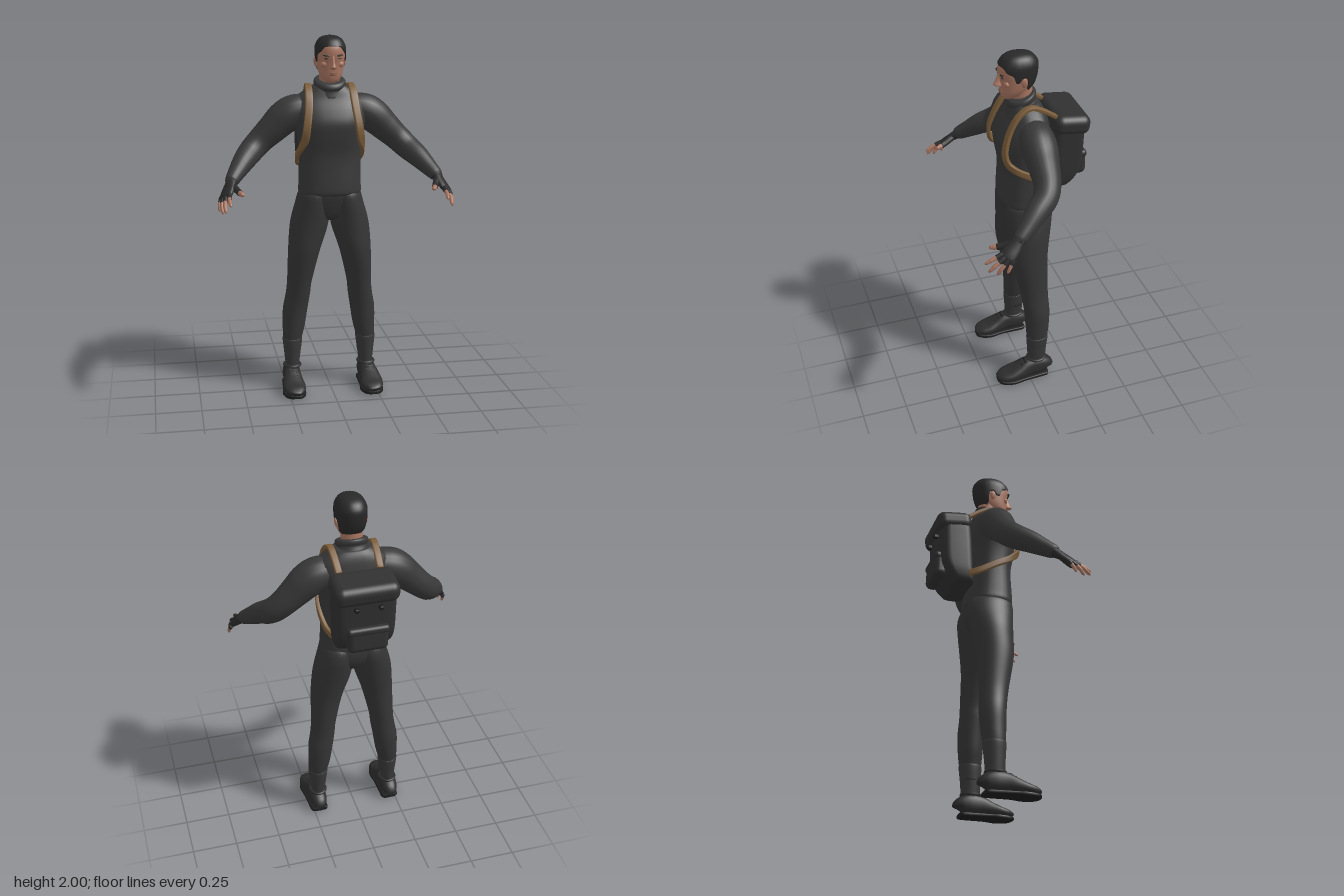
import * as THREE from 'three';
import { RoundedBoxGeometry } from 'three/addons/geometries/RoundedBoxGeometry.js';

const V = (x, y, z) => new THREE.Vector3(x, y, z);
const palette = {
  jacket: 0x383838, trousers: 0x353535, shoe: 0x2d2d2d, sole: 0x1e1e1e, hair: 0x282828,
  glove: 0x2a2a2a, pack: 0x303030, skin: 0xa67460, strap: 0x7a5c3a, lips: 0x80503f,
};
const mats = {};
for (const [name, color] of Object.entries(palette)) {
  mats[name] = new THREE.MeshStandardMaterial({ color });
  mats[name].name = name;
}

// Closed skin over a list of rings of points
function skin(rings, capped = true) {
  const n = rings[0].length, pos = [], idx = [];
  rings.forEach(r => r.forEach(p => pos.push(p.x, p.y, p.z)));
  for (let i = 0; i < rings.length - 1; i++) for (let j = 0; j < n; j++) {
    const a = i * n + j, b = i * n + (j + 1) % n;
    idx.push(a, b, b + n, a, b + n, a + n);
  }
  if (capped) [0, rings.length - 1].forEach((i, end) => {
    const c = rings[i].reduce((s, p) => s.add(p), V(0, 0, 0)).divideScalar(n);
    const k = pos.length / 3;
    pos.push(c.x, c.y, c.z);
    for (let j = 0; j < n; j++) {
      const a = i * n + j, b = i * n + (j + 1) % n;
      end ? idx.push(k, a, b) : idx.push(k, b, a);
    }
  });
  const g = new THREE.BufferGeometry();
  g.setAttribute('position', new THREE.Float32BufferAttribute(pos, 3));
  g.setIndex(idx);
  g.computeVertexNormals();
  return g;
}
const pw = (v, n) => Math.sign(v) * Math.abs(v) ** (2 / n);
const spline = pts => new THREE.CatmullRomCurve3(pts, false, 'catmullrom', 0.5);

// Upright form; rows go upward: [y, centreX, centreZ, radiusX, radiusZ]
function samples(rows, count) {
  const c = spline(rows.map(r => V(r[1], r[0], r[2]))), s = spline(rows.map(r => V(r[3], r[4], 0)));
  return Array.from({ length: count + 1 }, (_, i) => [c.getPoint(i / count), s.getPoint(i / count)]);
}
const ringPoint = ([c, s], a, n, grow = 0) =>
  V(c.x + (s.x + grow) * pw(Math.sin(a), n), c.y, c.z + (s.y + grow) * pw(Math.cos(a), n));
function loft(rows, n = 2, tilt = 0, segs = 36) {
  return skin(samples(rows, rows.length * 4).map(s => Array.from({ length: segs }, (_, j) => {
    const p = ringPoint(s, j / segs * Math.PI * 2, n);
    p.y -= tilt * p.z;
    return p;
  })));
}
// Form along a path; rows: [x, y, z, radiusA, radiusB]; A points along the hint vector(s)
function limb(rows, hint = V(0, 0, 1), n = 2, segs = 20) {
  const c = spline(rows.map(r => V(r[0], r[1], r[2])));
  const s = spline(rows.map(r => V(r[3], r[4] ?? r[3], 0)));
  const h = Array.isArray(hint) ? spline(hint) : null;
  const count = rows.length * 5, rings = [];
  for (let i = 0; i <= count; i++) {
    const t = i / count, T = c.getTangent(t), C = c.getPoint(t), S = s.getPoint(t);
    const U = (h ? h.getPoint(t) : hint).clone();
    U.addScaledVector(T, -U.dot(T)).normalize();
    const W = T.clone().cross(U);
    rings.push(Array.from({ length: segs }, (_, j) => {
      const a = j / segs * Math.PI * 2;
      return C.clone().addScaledVector(U, S.x * pw(Math.cos(a), n)).addScaledVector(W, S.y * pw(Math.sin(a), n));
    }));
  }
  return skin(rings);
}
function mirrored(geo) {
  const g = geo.clone();
  g.applyMatrix4(new THREE.Matrix4().makeScale(-1, 1, 1));
  const ix = g.index ? Array.from(g.index.array) : Array.from({ length: g.attributes.position.count }, (_, i) => i);
  for (let i = 0; i < ix.length; i += 3) [ix[i], ix[i + 1]] = [ix[i + 1], ix[i]];
  g.setIndex(ix);
  return g;
}
const blob = (x, y, z, rx, ry, rz, turn = 0) =>
  new THREE.SphereGeometry(1, 16, 12).scale(rx, ry, rz).rotateZ(turn).translate(x, y, z);
const box = (w, h, d, r, x, y, z, tilt = 0) =>
  new RoundedBoxGeometry(w, h, d, 5, r).rotateX(tilt).translate(x, y, z);

export function createModel() {
  const model = new THREE.Group();
  model.name = 'hiker';
  const add = (name, geo, mat) => {
    const m = new THREE.Mesh(geo, mats[mat]);
    m.name = name;
    model.add(m);
  };
  const both = (name, geo, mat) => {
    add(name + 'Left', geo, mat);
    add(name + 'Right', mirrored(geo), mat);
  };

  // Jacket and rolled collar
  add('jacketBody', loft([[1.135, 0, -.03, .166, .122], [1.15, 0, -.03, .174, .132], [1.2, 0, -.028, .172, .129],
    [1.35, 0, -.025, .17, .118], [1.45, 0, -.02, .178, .128], [1.53, 0, -.022, .193, .136], [1.6, 0, -.035, .2, .124],
    [1.66, 0, -.045, .185, .1], [1.7, 0, -.045, .14, .085], [1.73, 0, -.04, .095, .07]], 2.5), 'jacket');
  add('collar', loft([[1.685, 0, -.03, .1, .083], [1.71, 0, -.027, .086, .074], [1.72, 0, -.026, .084, .073],
    [1.735, 0, -.025, .089, .079], [1.752, 0, -.025, .083, .073], [1.757, 0, -.025, .066, .057]], 2, .35), 'jacket');
  both('sleeve', limb([[.1, 1.605, -.045, .078], [.19, 1.59, -.045, .092], [.25, 1.555, -.045, .093], [.31, 1.5, -.043, .083],
    [.38, 1.435, -.038, .072], [.432, 1.385, -.01, .068], [.48, 1.34, .055, .06], [.525, 1.29, .12, .047],
    [.553, 1.258, .163, .038], [.557, 1.253, .169, .033]]), 'jacket');

  // Trousers: pelvis, legs and lower leg wraps
  add('pelvis', loft([[.985, 0, -.035, .05, .05], [1.01, 0, -.037, .11, .09], [1.07, 0, -.04, .172, .115],
    [1.13, 0, -.035, .172, .123], [1.18, 0, -.03, .16, .115]], 2.3), 'trousers');
  both('leg', loft([[.2, .21, -.055, .045, .052], [.28, .212, -.055, .053, .06], [.36, .203, -.058, .063, .068],
    [.46, .194, -.058, .07, .073], [.55, .179, -.05, .069, .077], [.63, .17, -.043, .07, .084], [.8, .147, -.028, .088, .102],
    [.93, .121, -.034, .105, .114], [1, .109, -.038, .105, .122], [1.08, .097, -.04, .094, .13],
    [1.14, .088, -.035, .085, .122], [1.17, .08, -.03, .06, .09]]), 'trousers');
  both('legWrap', loft([[.11, .214, -.052, .036, .05], [.135, .214, -.052, .039, .053], [.2, .213, -.053, .047, .057],
    [.28, .212, -.055, .056, .063], [.288, .212, -.055, .05, .056]]), 'jacket');

  // Shoes with soles, ankle rims and laces
  const side = V(1, 0, 0);
  both('shoe', limb([[.218, .05, -.112, .03, .035], [.218, .062, -.104, .043, .047], [.219, .073, -.06, .05, .058],
    [.221, .071, 0, .05, .056], [.223, .058, .055, .058, .043], [.222, .046, .11, .063, .031],
    [.22, .039, .155, .054, .024], [.218, .034, .18, .036, .016], [.218, .03, .186, .018, .01]], side, 2.4, 28), 'shoe');
  both('sole', limb([[.218, .011, -.115, .035, .01], [.218, .011, -.1, .049, .011], [.22, .012, -.04, .053, .011],
    [.222, .013, .04, .058, .01], [.222, .012, .1, .066, .011], [.22, .012, .15, .057, .011],
    [.218, .014, .18, .038, .01], [.218, .015, .19, .018, .008]], side, 5, 28), 'sole');
  both('ankleRim', new THREE.TorusGeometry(.044, .009, 8, 28).rotateX(Math.PI / 2).scale(1, 1, 1.15).translate(.215, .125, -.05), 'shoe');
  for (let i = 0; i < 3; i++)
    both('lace' + i, box(.05, .008, .012, .003, .222, .117 - i * .012, .025 + i * .021, .5), 'sole');

  // Fingerless gloves, fingers with bare tips
  const across = V(.043, -.02, -.05);
  both('glove', limb([[.548, 1.262, .15, .03, .03], [.56, 1.245, .178, .034, .026], [.573, 1.224, .205, .041, .022],
    [.588, 1.198, .236, .044, .02], [.598, 1.183, .253, .04, .016], [.602, 1.178, .26, .025, .008]], across), 'glove');
  const fingers = [
    ['index', [.576, 1.2, .265], [.579, 1.18, .317], [.575, 1.157, .36], .012],
    ['middle', [.592, 1.188, .258], [.602, 1.158, .308], [.6, 1.122, .348], .0125],
    ['ring', [.606, 1.18, .241], [.616, 1.146, .279], [.614, 1.108, .307], .012],
    ['little', [.615, 1.178, .222], [.626, 1.146, .242], [.628, 1.113, .258], .0105],
    ['thumb', [.557, 1.24, .195], [.53, 1.215, .258], [.507, 1.203, .315], .0155],
  ];
  for (const [name, a, b, c, r] of fingers) {
    const path = spline([V(...a), V(...b), V(...c)]);
    const seg = (t0, t1, radii) => limb(radii.map((k, i) =>
      [...path.getPoint(t0 + (t1 - t0) * i / (radii.length - 1)).toArray(), r * k]), across, 2, 12);
    const cut = name === 'thumb' ? .68 : .34;
    both(name + 'Sleeve', seg(0, cut, [1.2, 1.2, 1.12, 1.08]), 'glove');
    both(name + 'Finger', seg(cut - .1, 1, [.9, .95, .88, .9, .8, .72, .3]), 'skin');
  }

  // Head and neck
  const headRows = [[1.75, 0, .045, .02, .022], [1.765, 0, .035, .041, .046], [1.79, 0, .018, .059, .068],
    [1.82, 0, .002, .069, .085], [1.86, 0, -.005, .075, .096], [1.9, 0, -.005, .078, .103], [1.94, 0, -.008, .076, .101],
    [1.972, 0, -.009, .06, .08], [1.988, 0, -.009, .038, .052], [1.994, 0, -.009, .012, .016]];
  const headSamples = samples(headRows, 120);
  const headAt = y => headSamples.find(s => s[0].y >= y) ?? headSamples[120];
  const faceZ = (x, y) => {
    const [c, s] = headAt(y);
    return c.z + s.y * (1 - (x / s.x) ** 2.2) ** (1 / 2.2);
  };
  add('head', loft(headRows, 2.2), 'skin');
  add('neck', limb([[0, 1.68, -.035, .058], [0, 1.76, -.03, .058], [0, 1.85, -.02, .058]]), 'skin');

  // Cropped hair following the skull down to a hairline
  const line = [[0, 1.945], [.55, 1.942], [.85, 1.915], [1.2, 1.905], [1.3, 1.86], [1.5, 1.86], [1.6, 1.89],
    [1.85, 1.88], [2, 1.82], [2.4, 1.795], [3.15, 1.79]];
  const hairline = a => {
    const i = line.findIndex(p => p[0] > a), [a0, y0] = line[i - 1], [a1, y1] = line[i];
    return y0 + (y1 - y0) * (a - a0) / (a1 - a0);
  };
  const hairRings = [];
  for (let i = 0; i <= 20; i++) hairRings.push(Array.from({ length: 72 }, (_, j) => {
    const a = j / 72 * Math.PI * 2, t = Math.max(0, i - 1) / 19;
    const y = THREE.MathUtils.lerp(hairline(Math.min(a, Math.PI * 2 - a)), 1.994, 1 - (1 - t) ** 1.6);
    const p = ringPoint(headAt(y), a, 2.2, i ? .006 : -.004);
    if (i) p.y += .006 * t;
    return p;
  }));
  add('hair', skin(hairRings), 'hair');

  // Face
  add('nose', loft([[1.824, 0, .088, .008, .012], [1.83, 0, .092, .018, .026], [1.838, 0, .094, .017, .031],
    [1.855, 0, .092, .011, .023], [1.88, 0, .09, .009, .015], [1.9, 0, .088, .008, .01]]), 'skin');
  add('chin', blob(0, 1.768, .066, .022, .015, .016), 'skin');
  add('upperLip', blob(0, 1.803, faceZ(0, 1.803), .023, .004, .007), 'lips');
  add('lowerLip', blob(0, 1.794, faceZ(0, 1.794), .019, .005, .008), 'lips');
  both('brow', blob(.034, 1.898, faceZ(.034, 1.898) - .001, .021, .0045, .008, .1), 'hair');
  both('eye', blob(.033, 1.882, faceZ(.033, 1.882) - .002, .013, .004, .005), 'hair');
  both('cheek', blob(.04, 1.85, faceZ(.04, 1.85) - .012, .024, .018, .016), 'skin');
  both('ear', blob(.079, 1.858, -.018, .009, .027, .017, -.15), 'skin');

  // Backpack with top flap, rear pocket and buckles
  add('packBody', loft([[1.235, 0, -.197, .125, .05], [1.245, 0, -.2, .145, .06], [1.29, 0, -.222, .156, .08],
    [1.36, 0, -.238, .16, .094], [1.5, 0, -.246, .163, .094], [1.6, 0, -.252, .163, .09], [1.64, 0, -.255, .15, .08]], 5, 0, 48), 'pack');
  add('packFlap', box(.345, .11, .2, .045, 0, 1.602, -.264, -.12), 'pack');
  add('packPocket', box(.22, .14, .075, .032, 0, 1.337, -.327, .04), 'pack');
  add('pocketLid', box(.228, .045, .08, .02, 0, 1.392, -.326), 'pack');
  both('buckle', box(.022, .022, .036, .006, .065, 1.525, -.348), 'sole');

  // Shoulder straps running over the chest and back under the arms
  const strap = [
    [.11, 1.655, -.18, 0, .8, -.6], [.114, 1.708, -.1, 0, 1, -.5], [.118, 1.731, -.035, 0, 1, .2],
    [.122, 1.693, .03, 0, .6, .8], [.128, 1.615, .078, .1, .3, 1], [.142, 1.52, .108, .25, 0, 1],
    [.153, 1.45, .1, .5, -.1, 1], [.17, 1.4, .055, .9, 0, .5], [.179, 1.35, -.03, 1, 0, 0],
    [.168, 1.3, -.12, 1, 0, -.3], [.145, 1.28, -.18, 1, 0, -.4]];
  both('strap', limb(strap.map((p, i) => [p[0], p[1], p[2], .011, i > 2 && i < 7 ? .021 : .018]),
    strap.map(p => V(p[3], p[4], p[5])), 5, 24), 'strap');
  return model;
}
